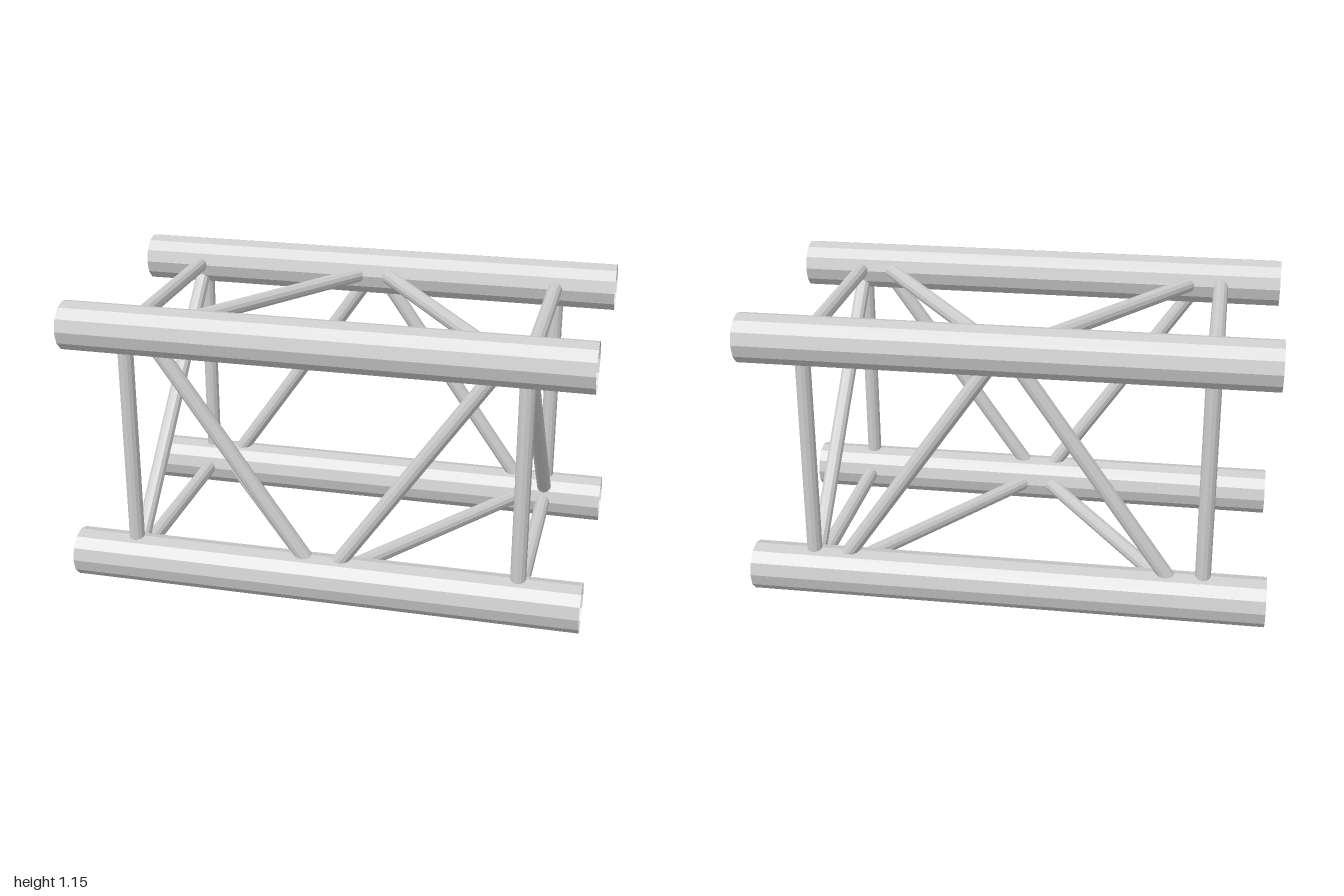
import * as THREE from 'three';

const CHORD_R = 0.095; // main tube radius
const BRACE_R = 0.03;  // lattice tube radius
const H = 0.48;        // half distance between chord axes
const MID = H + CHORD_R;

export function createModel() {
  const group = new THREE.Group();
  group.name = 'boxTruss';

  const aluminium = new THREE.MeshStandardMaterial({
    color: 0xcccccc, flatShading: true, side: THREE.DoubleSide,
  });
  aluminium.name = 'aluminium';

  // Open tube between two points, given relative to the truss axis
  const tube = (name, a, b, radius) => {
    const start = new THREE.Vector3(...a);
    const end = new THREE.Vector3(...b);
    const dir = end.clone().sub(start);
    const mesh = new THREE.Mesh(
      new THREE.CylinderGeometry(radius, radius, dir.length(), 12, 1, true), aluminium);
    mesh.name = name;
    mesh.position.copy(start).add(end).multiplyScalar(0.5);
    mesh.position.y += MID;
    mesh.quaternion.setFromUnitVectors(new THREE.Vector3(0, 1, 0), dir.normalize());
    group.add(mesh);
  };

  // Four main chords
  for (const y of [-H, H]) for (const z of [-H, H]) {
    tube('chord', [-1, y, z], [1, y, z], CHORD_R);
  }

  const RUNG_X = 0.76, OUTER = 0.68, INNER = 0.012;
  for (const sx of [-1, 1]) {
    const x = sx * RUNG_X;
    for (const s of [-1, 1]) {
      // Square end frames
      tube('verticalRung', [x, -H, s * H], [x, H, s * H], BRACE_R);
      tube('horizontalRung', [x, s * H, -H], [x, s * H, H], BRACE_R);

      // Face diagonals, alternating direction on opposite faces
      const low = sx * (s > 0 ? INNER : OUTER);
      const high = sx * (s > 0 ? OUTER : INNER);
      tube('sideDiagonal', [low, -H, s * H], [high, H, s * H], BRACE_R);
      tube('levelDiagonal', [low, s * H, -H], [high, s * H, H], BRACE_R);
    }
    // Inner diagonal across each end frame
    tube('crossDiagonal', [x, -H, -sx * H], [x, H, sx * H], BRACE_R);
  }

  return group;
}
